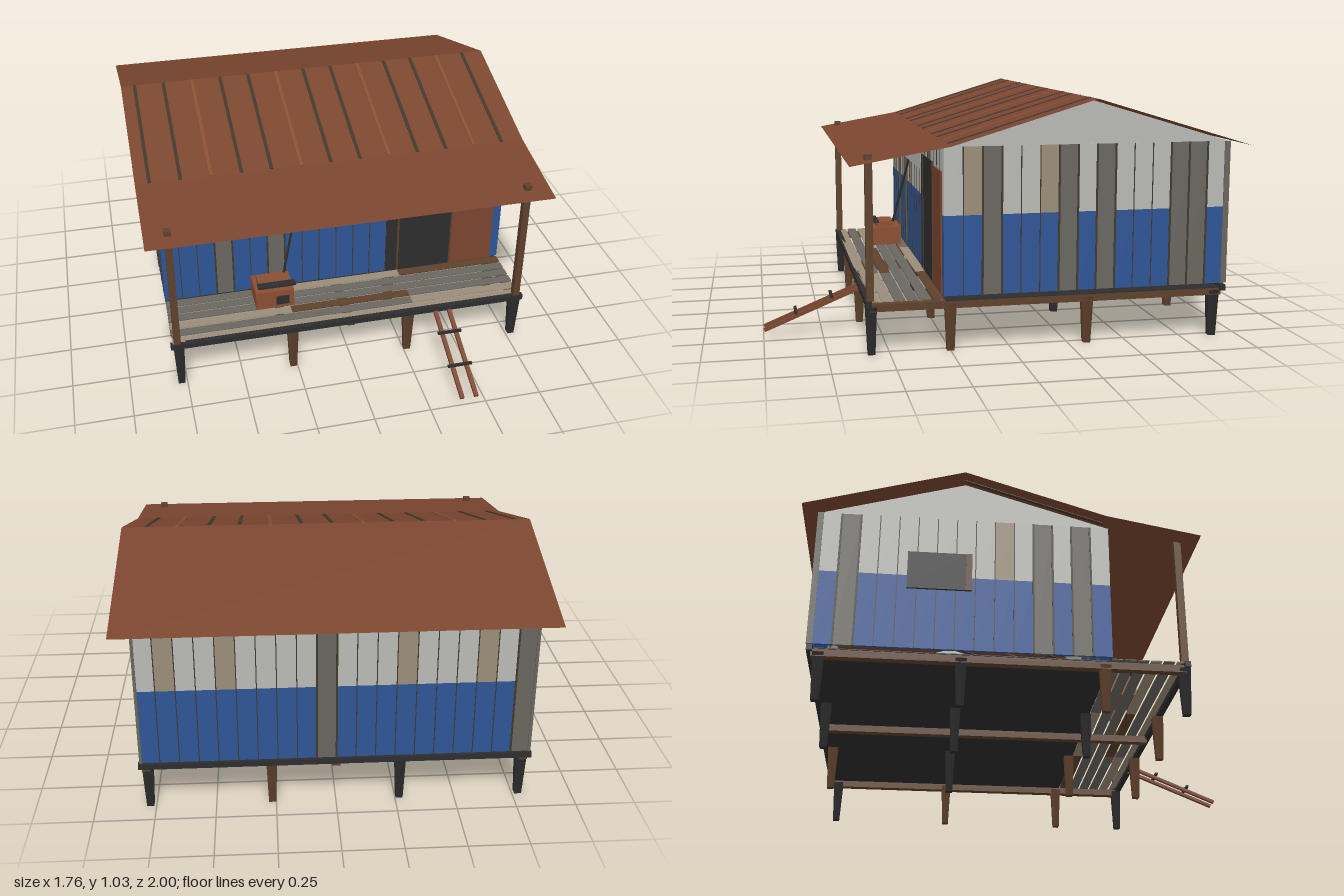
import * as THREE from 'three';

const mat = (name, color, side = THREE.FrontSide) => {
  const m = new THREE.MeshStandardMaterial({ color, side });
  m.name = name;
  return m;
};

export function createModel() {
  const root = new THREE.Group();
  root.name = 'stiltCabin';

  const blue = mat('blue paint', 0x2e5595);
  const light = mat('pale grey paint', 0xb8b8b4, THREE.DoubleSide);
  const tan = mat('tan board', 0x9a8c78, THREE.DoubleSide);
  const grey = mat('weathered board', 0x69665f, THREE.DoubleSide);
  const dark = mat('charcoal', 0x2d2d2d, THREE.DoubleSide);
  const wood = mat('brown timber', 0x5e412b);
  const rust = mat('rusty sheet', 0x7a452f, THREE.DoubleSide);
  const orange = mat('orange rust', 0x8a4f31);
  const seam = mat('dark seam', 0x40382c);

  const add = (parent, name, geo, m, x = 0, y = 0, z = 0) => {
    const mesh = new THREE.Mesh(geo, m);
    mesh.name = name;
    mesh.position.set(x, y, z);
    parent.add(mesh);
    return mesh;
  };
  // Box given by its minimum and maximum corners
  const box = (parent, name, m, x0, x1, y0, y1, z0, z1) =>
    add(parent, name, new THREE.BoxGeometry(x1 - x0, y1 - y0, z1 - z0), m,
      (x0 + x1) / 2, (y0 + y1) / 2, (z0 + z1) / 2);
  // Bar between two points
  const bar = (parent, name, m, a, b, w, h = w) => {
    const p = new THREE.Vector3(...a), q = new THREE.Vector3(...b);
    const mesh = add(parent, name, new THREE.BoxGeometry(w, h, p.distanceTo(q)), m);
    mesh.position.copy(p).add(q).multiplyScalar(0.5);
    mesh.lookAt(q);
    return mesh;
  };

  // Tapered stilts: one letter per stilt, d = charcoal, w = timber
  const legGeo = new THREE.CylinderGeometry(0.032, 0.021, 0.2, 4);
  legGeo.rotateY(Math.PI / 4);
  const legX = [-0.775, -0.268, 0.266, 0.775];
  [[0.575, 'dwwd'], [0.25, 'wdww'], [-0.33, 'dddw'], [-0.89, 'ddwd']].forEach(([z, row]) =>
    legX.forEach((x, i) => add(root, 'stilt', legGeo, row[i] === 'd' ? dark : wood, x, 0.1, z)));

  // Floor frame
  for (const x of [-0.78, 0, 0.78])
    box(root, 'floorBeam', wood, x - 0.017, x + 0.017, 0.18, 0.211, -0.92, 0.58);
  for (const z of [0.585, -0.925])
    box(root, 'edgeBeam', dark, -0.81, 0.81, 0.2, 0.225, z - 0.012, z + 0.012);
  box(root, 'floor', dark, -0.8, 0.8, 0.211, 0.215, -0.92, 0.27);

  // Porch deck boards with open gaps, each in three lengths
  const deckTones = [grey, grey, tan, grey, wood, grey, grey];
  const deckCuts = [-0.8, -0.25, 0.3, 0.8];
  for (let i = 0; i < 6; i++)
    for (let j = 0; j < 3; j++) {
      const z = 0.278 + i * 0.053;
      box(root, 'deckBoard', i === 5 ? tan : deckTones[(i * 3 + j * 2) % 7],
        deckCuts[j], deckCuts[j + 1], 0.221, 0.225, z, z + 0.045);
    }

  // Board walls: W pale over blue, T tan over blue, G bare weathered board
  const P = 0.08, base = 0.232, split = 0.562, top = 0.84;
  const wall = (name, pattern, x, z, turn) => {
    const g = new THREE.Group();
    g.name = name;
    const half = pattern.length * P / 2;
    [...pattern].forEach((c, i) => {
      const a = -half + i * P, b = a + P;
      if (c === 'G') box(g, 'bareBoard', grey, a, b, base, top, -0.012, 0);
      else {
        box(g, 'lowerBoard', blue, a, b, base, split, -0.012, 0);
        box(g, 'upperBoard', c === 'T' ? tan : light, a, b, split, top, -0.012, 0);
      }
      if (i) {
        const bold = c === 'G' || pattern[i - 1] === 'G';
        const w = bold ? 0.004 : 0.002;
        box(g, 'boardSeam', seam, a - w, a + w, base, top, -0.002, 0.002);
      }
    });
    g.position.set(x, 0, z);
    g.rotation.y = turn;
    root.add(g);
    return g;
  };
  const front = wall('frontWall', 'WTWGWTGWTWWWWWWGWWWW', 0, 0.28, 0);
  wall('backWall', 'WTWWTWWWWGWWWTWWWTWG', 0, -0.935, Math.PI);
  wall('leftWall', 'WTGWWTGWGWWWGGW', 0.8, -0.32, Math.PI / 2);
  const side = wall('rightWall', 'WGWWWWWWWTWGWGW', -0.8, -0.32, -Math.PI / 2);
  for (const x of [-0.797, 0.797])
    box(root, 'cornerTrim', grey, x - 0.006, x + 0.006, base, top, -0.94, -0.915);

  // Doorway, sliding door and signboard on the front wall
  box(front, 'doorway', dark, 0.24, 0.555, base, 0.75, 0, 0.005);
  box(front, 'doorFrame', wood, 0.292, 0.3, base, 0.75, 0, 0.008);
  box(front, 'doorFrame', wood, 0.55, 0.558, base, 0.75, 0, 0.008);
  box(front, 'door', rust, 0.558, 0.76, base, 0.737, 0, 0.006);
  box(front, 'signboard', light, -0.455, 0.24, 0.677, 0.8, 0, 0.006);

  // Side window
  box(side, 'window', dark, -0.24, 0, 0.5, 0.67, 0, 0.009);
  box(side, 'windowFrame', wood, 0, 0.025, 0.5, 0.67, 0, 0.012);

  // Gables
  const gable = new THREE.Shape([[0.93, top], [-0.28, top], [0.33, 1.02]]
    .map(([a, b]) => new THREE.Vector2(a, b)));
  for (const x of [-0.798, 0.798])
    add(root, 'gable', new THREE.ShapeGeometry(gable), light, x).rotation.y = Math.PI / 2;

  // Thin roof sheets, each between two (z, y) edges
  const sheet = (name, m, x, w, z0, y0, z1, y1) => {
    const geo = new THREE.PlaneGeometry(w, Math.hypot(z1 - z0, y1 - y0));
    geo.rotateX(-Math.PI / 2 + Math.atan2(y0 - y1, z1 - z0));
    return add(root, name, geo, m, x, (y0 + y1) / 2, (z0 + z1) / 2);
  };
  sheet('backRoof', rust, 0, 1.76, -1, 0.828, -0.335, 1.028);
  sheet('frontRoof', rust, 0, 1.76, -0.335, 1.028, 0.26, 0.85);
  sheet('porchRoof', rust, 0, 1.76, 0.26, 0.85, 0.66, 0.78);
  for (let i = 0; i < 13; i++)
    bar(root, 'roofRib', i % 3 === 2 ? orange : seam,
      [-0.818 + i * 0.133, 1.027, -0.333], [-0.818 + i * 0.133, 0.851, 0.258], 0.015, 0.006);

  // Porch posts
  for (const x of [-0.78, 0.78])
    box(root, 'porchPost', wood, x - 0.015, x + 0.015, 0.22, 0.815, 0.563, 0.593);

  // Ladder
  for (const x of [0.392, 0.456])
    bar(root, 'ladderRail', rust, [x, 0.205, 0.58], [x, 0.035, 0.997], 0.018, 0.014);
  for (const [y, z] of [[0.169, 0.71], [0.107, 0.863]])
    box(root, 'ladderRung', dark, 0.367, 0.477, y - 0.005, y + 0.005, z - 0.006, z + 0.006);

  // Generator with its cable
  const gen = new THREE.Group();
  gen.name = 'generator';
  root.add(gen);
  box(gen, 'generatorBody', orange, -0.408, -0.235, 0.245, 0.333, 0.315, 0.457);
  box(gen, 'generatorTop', orange, -0.39, -0.25, 0.333, 0.358, 0.35, 0.435);
  box(gen, 'generatorPanel', dark, -0.317, -0.257, 0.262, 0.305, 0.457, 0.462);
  box(gen, 'generatorHandle', dark, -0.397, -0.227, 0.356, 0.365, 0.425, 0.46);
  bar(gen, 'cable', dark, [-0.267, 0.335, 0.358], [-0.18, 0.68, 0.28], 0.008);

  return root;
}
